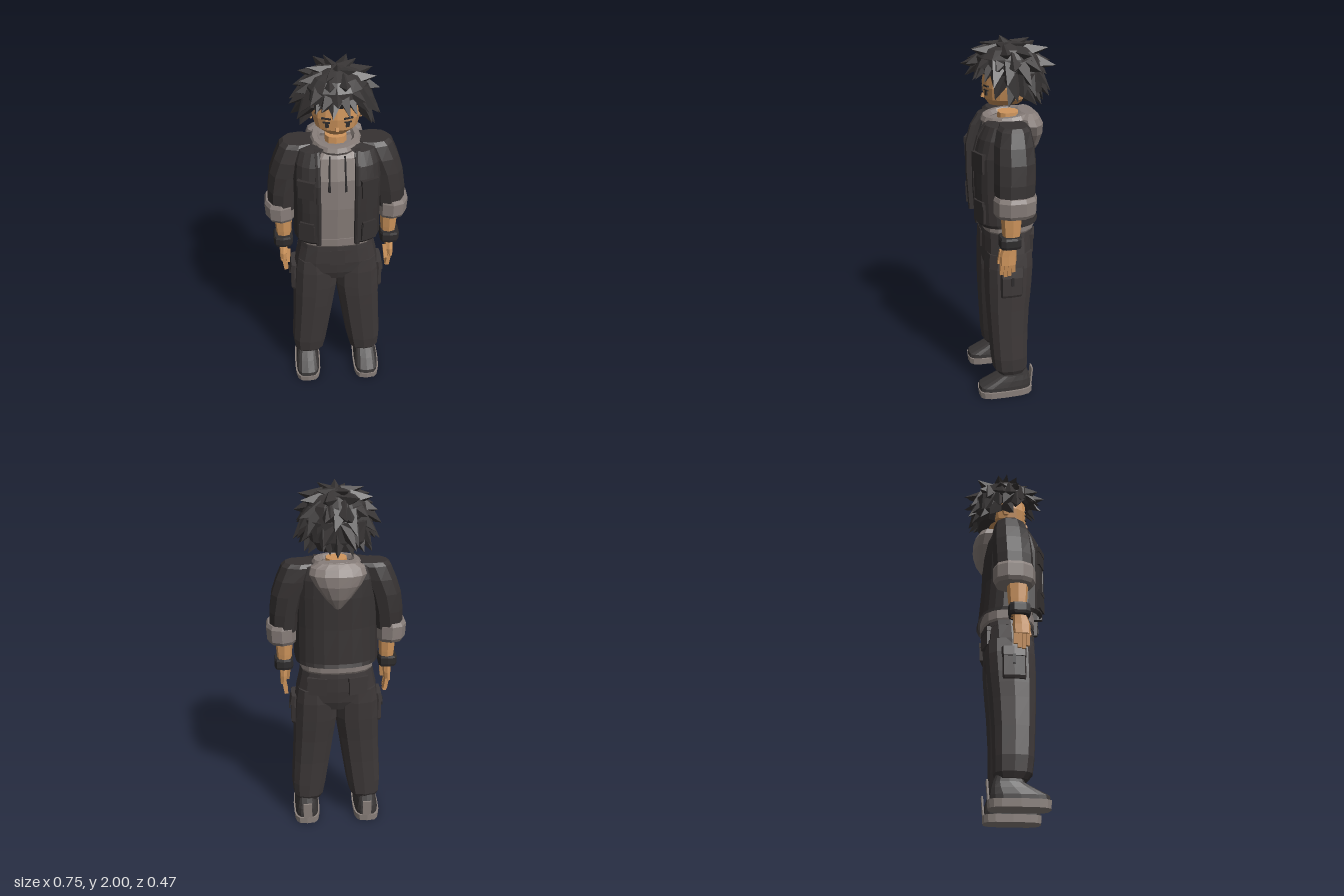
import * as THREE from 'three';

const make = (name, color, side = THREE.FrontSide) =>
  Object.assign(new THREE.MeshStandardMaterial({ color, flatShading: true, side }), { name });

export function createModel() {
  const root = new THREE.Group();
  root.name = 'standingFigure';
  const skin = make('skin', 0xd0965d);
  const hairMat = make('hair', 0x383535);
  const jacketMat = make('jacket', 0x363232, THREE.DoubleSide);
  const pantsMat = make('pants', 0x3d3838);
  const cloth = make('greyCloth', 0x887e7a);
  const shoeMat = make('shoe', 0x3a3737);
  const soleMat = make('sole', 0x8d837e);
  const dark = make('darkTrim', 0x2e2c2d);

  const add = (name, geo, mat) => {
    const m = new THREE.Mesh(geo, mat);
    m.name = name;
    root.add(m);
    return m;
  };
  const box = (name, mat, w, h, d, x, y, z, rx = 0, ry = 0, rz = 0) => {
    const m = add(name, new THREE.BoxGeometry(w, h, d), mat);
    m.position.set(x, y, z);
    m.rotation.set(rx, ry, rz);
  };
  // Loft of rounded sections [y, x0, x1, z0, z1]; e and back set the squareness
  // of the front and back halves, gap leaves the front open
  const loft = (name, mat, secs, { n = 12, e = 2.6, back = e, s = 1, gap = 0 } = {}) => {
    const pos = [], idx = [];
    const pw = (v, k) => Math.sign(v) * Math.pow(Math.abs(v), 2 / k);
    for (const [y, x0, x1, z0, z1] of secs)
      for (let i = 0; i <= n; i++) {
        const a = gap + (i / n) * (Math.PI * 2 - 2 * gap), c = Math.cos(a), k = c < 0 ? back : e;
        pos.push(s * (x0 + x1) / 2 + (x1 - x0) / 2 * pw(Math.sin(a), k), y,
          (z0 + z1) / 2 + (z1 - z0) / 2 * pw(c, k));
      }
    const w = n + 1, last = (secs.length - 1) * w;
    for (let j = 0; j < last; j += w)
      for (let i = j; i < j + n; i++) idx.push(i, i + 1, i + 1 + w, i, i + 1 + w, i + w);
    if (!gap) {
      const c = pos.length / 3;
      for (const [y, x0, x1, z0, z1] of [secs[0], secs[secs.length - 1]])
        pos.push(s * (x0 + x1) / 2, y, (z0 + z1) / 2);
      for (let i = 0; i < n; i++) idx.push(c, i + 1, i, c + 1, last + i, last + i + 1);
    }
    const g = new THREE.BufferGeometry();
    g.setAttribute('position', new THREE.Float32BufferAttribute(pos, 3));
    g.setIndex(idx);
    g.computeVertexNormals();
    return add(name, g, mat);
  };

  // Head and neck
  loft('head', skin, [[1.655, -.06, .06, -.06, .1], [1.69, -.108, .108, -.1, .126],
    [1.75, -.125, .125, -.12, .132], [1.82, -.125, .125, -.12, .125], [1.88, -.1, .1, -.1, .1]], { n: 16, e: 2.4 });
  loft('neck', skin, [[1.5, -.06, .06, -.06, .06], [1.61, -.055, .055, -.055, .055]], { n: 10 });
  box('nose', skin, .016, .02, .016, 0, 1.7, .13, -.3);

  // Hoodie, hem, hood and neck ring
  loft('hoodie', cloth, [[1.0, -.195, .195, -.12, .155], [1.25, -.195, .195, -.1, .17],
    [1.42, -.19, .19, -.1, .165], [1.53, -.16, .16, -.09, .13], [1.575, -.1, .1, -.08, .1]], { n: 16 });
  loft('hoodieHem', cloth, [[.992, -.198, .198, -.125, .155], [1.004, -.203, .203, -.132, .162],
    [1.05, -.203, .203, -.132, .162]], { n: 16, e: 3, back: 2.5 });
  loft('hood', cloth, [[1.37, -.02, .02, -.13, -.08], [1.43, -.07, .07, -.162, -.06],
    [1.5, -.12, .12, -.18, -.04], [1.555, -.15, .15, -.178, -.02], [1.59, -.14, .14, -.16, -.02],
    [1.612, -.1, .1, -.135, -.06]], { n: 14, e: 2.2 });
  const ringGeo = new THREE.TorusGeometry(.107, .024, 6, 16).rotateX(Math.PI / 2).scale(1, 1, 1.08);
  const ring = add('hoodCollar', ringGeo, cloth);
  ring.position.set(0, 1.583, .004);
  ring.rotation.x = .08;

  // Open jacket
  loft('jacketBody', jacketMat, [[1.04, -.225, .225, -.15, .19], [1.06, -.23, .23, -.143, .205],
    [1.25, -.226, .226, -.127, .21], [1.42, -.226, .226, -.122, .21], [1.51, -.22, .22, -.115, .185],
    [1.575, -.2, .2, -.095, .15], [1.587, -.13, .13, -.07, .1]], { n: 22, e: 3.2, back: 2.4, gap: .25 });

  // Pelvis, waistband and fly
  loft('pelvis', pantsMat, [[.76, -.2, .2, -.09, .14], [.81, -.23, .23, -.107, .155],
    [.88, -.222, .222, -.115, .16], [.98, -.2, .2, -.118, .155]], { n: 16, e: 3, back: 2.6 });
  loft('waistband', pantsMat, [[.965, -.204, .204, -.125, .16], [.995, -.2, .2, -.122, .157]],
    { n: 16, e: 3, back: 2.5 });
  box('fly', pantsMat, .08, .1, .008, 0, .92, .157);

  for (const s of [1, -1]) {
    const side = s > 0 ? 'left' : 'right';
    const L = (name, mat, secs, o = {}) => loft(side + name, mat, secs, { s, ...o });
    const B = (name, mat, w, h, d, x, y, z, rx = 0, ry = 0, rz = 0) =>
      box(side + name, mat, w, h, d, s * x, y, z, rx, s * ry, s * rz);

    // Face
    B('Eye', dark, .018, .024, .009, .05, 1.722, .1225, 0, .25);
    B('EyeLid', dark, .036, .006, .009, .052, 1.737, .123, 0, .25);
    B('Brow', dark, .046, .008, .009, .054, 1.758, .1235, 0, .25, .06);
    L('Ear', skin, [[1.7, .115, .13, -.015, .015], [1.74, .12, .142, -.03, .02],
      [1.785, .115, .142, -.03, .02]], { n: 6 });

    // Drawstring
    const cord = new THREE.LineCurve3(new THREE.Vector3(s * .038, 1.55, .13), new THREE.Vector3(s * .042, 1.37, .174));
    add(side + 'Drawstring', new THREE.TubeGeometry(cord, 1, .005, 5), dark);
    B('DrawstringTip', dark, .013, .03, .012, .042, 1.38, .173);

    // Jacket front edge and pockets
    L('JacketEdge', jacketMat, [[1.04, .085, .115, .14, .2], [1.25, .085, .113, .155, .212],
      [1.42, .085, .113, .155, .212], [1.52, .085, .113, .125, .185], [1.582, .085, .115, .08, .145]], { n: 8, e: 4 });
    B('ChestPocket', jacketMat, .085, .09, .018, .158, 1.385, .186, 0, .42);
    B('ChestPocketFlap', jacketMat, .095, .03, .024, .158, 1.43, .186, 0, .42);
    B('LowerPocket', jacketMat, .085, .1, .018, .16, 1.12, .184, 0, .42);
    B('LowerPocketFlap', jacketMat, .075, .025, .024, .158, 1.175, .185, 0, .42);

    // Sleeve, rolled cuff, arm and wristband
    L('Sleeve', jacketMat, [[1.22, .2, .362, -.078, .132], [1.32, .19, .358, -.084, .132],
      [1.42, .165, .344, -.087, .127], [1.5, .13, .318, -.084, .12], [1.57, .1, .288, -.072, .1],
      [1.588, .1, .268, -.055, .08]], { n: 10, e: 2.3 });
    L('Cuff', cloth, [[1.145, .215, .365, -.072, .127], [1.165, .208, .376, -.084, .139],
      [1.235, .208, .38, -.085, .14], [1.255, .21, .37, -.077, .132]], { n: 10, e: 2.3 });
    L('Forearm', skin, [[.97, .248, .318, .005, .085], [1.06, .24, .325, -.005, .095],
      [1.2, .23, .335, -.015, .105]], { n: 8 });
    L('Wristband', dark, [[.97, .238, .335, -.002, .108], [.985, .234, .34, -.006, .113],
      [1.02, .234, .34, -.006, .113], [1.032, .238, .335, -.002, .108]], { n: 10, e: 3.5 });

    // Hand
    L('Palm', skin, [[.87, .275, .31, .022, .108], [.92, .268, .31, .018, .11],
      [.98, .262, .312, .022, .09]], { n: 8, e: 3 });
    for (let i = 0; i < 4; i++) {
      const len = [.075, .09, .085, .065][i];
      B('Finger' + (i + 1), skin, .02, len, .019, .284, .885 - len / 2, .097 - i * .021, 0, 0, -.15);
    }
    B('Thumb', skin, .02, .075, .02, .264, .905, .1, -.2, 0, .1);

    // Trouser leg, cargo pocket and back pocket
    L('Leg', pantsMat, [[.14, .095, .24, -.055, .1], [.17, .075, .254, -.07, .125],
      [.25, .058, .26, -.072, .136], [.4, .035, .252, -.075, .145], [.55, .013, .245, -.085, .153],
      [.63, .001, .243, -.094, .156], [.69, -.008, .241, -.1, .157], [.8, -.008, .234, -.108, .157],
      [.88, .01, .22, -.105, .15]], { n: 12, e: 2.8 });
    L('CargoPocket', pantsMat, [[.645, .215, .25, -.025, .09], [.66, .215, .257, -.03, .092],
      [.8, .215, .254, -.03, .092]], { n: 8, e: 5 });
    L('CargoFlap', pantsMat, [[.765, .215, .263, -.033, .094], [.82, .21, .252, -.033, .094]], { n: 8, e: 5 });
    B('CargoStrap', dark, .009, .05, .015, .261, .745, .03);
    B('BackPocket', pantsMat, .1, .09, .02, .11, .91, -.106, 0, -.25);
    B('BackPocketFlap', pantsMat, .11, .025, .025, .11, .955, -.107, 0, -.25);

    // Shoe with a blunt toe
    L('Sole', soleMat, [[0, .103, .252, -.095, .21], [.04, .1, .255, -.098, .214]], { n: 16, e: 3.6 });
    L('ShoeUpper', shoeMat, [[.04, .108, .246, -.09, .21], [.062, .108, .246, -.09, .206],
      [.095, .115, .24, -.085, .14], [.125, .122, .232, -.075, .085], [.16, .13, .228, -.06, .07]], { n: 16, e: 3.4 });
    B('HeelTab', soleMat, .05, .1, .009, .175, .09, -.095, -.08);
  }

  // Hair: scalp shell, back mass and rings of pointed locks
  loft('scalp', hairMat, [[1.815, -.145, .145, -.15, .14], [1.85, -.16, .16, -.165, .165],
    [1.9, -.15, .15, -.15, .16], [1.94, -.11, .11, -.1, .12], [1.965, -.04, .04, -.04, .05]], { n: 14, e: 2.2 });
  loft('backHair', hairMat, [[1.68, -.1, .1, -.15, -.04], [1.73, -.14, .14, -.17, -.03],
    [1.83, -.155, .155, -.175, .02]], { n: 12, e: 2.4 });
  let seed = 7;
  const rnd = () => (seed = (seed * 16807) % 2147483647) / 2147483647;
  const up = new THREE.Vector3(0, 1, 0);
  const lock = (a, r0, y0, r1, y1, w) => {
    const base = new THREE.Vector3(Math.sin(a) * r0, y0, Math.cos(a) * r0);
    const b = a + (rnd() - .5) * .4;
    const tip = new THREE.Vector3(Math.sin(b) * r1, y1, Math.cos(b) * r1);
    const dir = tip.clone().sub(base), len = dir.length();
    const m = add('hairLock', new THREE.ConeGeometry(w, len, 4), hairMat);
    m.position.copy(base).add(tip).multiplyScalar(.5);
    m.quaternion.setFromUnitVectors(up, dir.normalize());
  };
  // [count, base radius, base y, tip radius, tip y, width, first angle, sweep]
  const full = Math.PI * 2;
  const rows = [
    [5, .03, 1.94, .14, 1.965, .036, .3, full],
    [8, .08, 1.915, .19, 1.935, .05, 0, full],
    [11, .11, 1.88, .215, 1.86, .058, .2, full],
    [11, .125, 1.86, .215, 1.78, .056, .75, full - 1.5],
    [12, .135, 1.81, .215, 1.71, .052, .95, full - 1.9],
    [9, .135, 1.75, .19, 1.665, .045, 1.35, full - 2.7],
    [7, .135, 1.87, .205, 1.8, .036, -.8, 1.6],
  ];
  for (const [n, r0, y0, r1, y1, w, a0, sweep] of rows)
    for (let i = 0; i < n; i++)
      lock(a0 + (i + .5) / n * sweep, r0, y0, r1 + (rnd() - .5) * .035, y1 + (rnd() - .5) * .03, w);
  lock(.3, .02, 1.94, .045, 2.0, .04);
  for (const a of [-.25, 2.82, 3.5]) lock(a, .1, 1.87, .245, 1.85, .06);

  return root;
}
